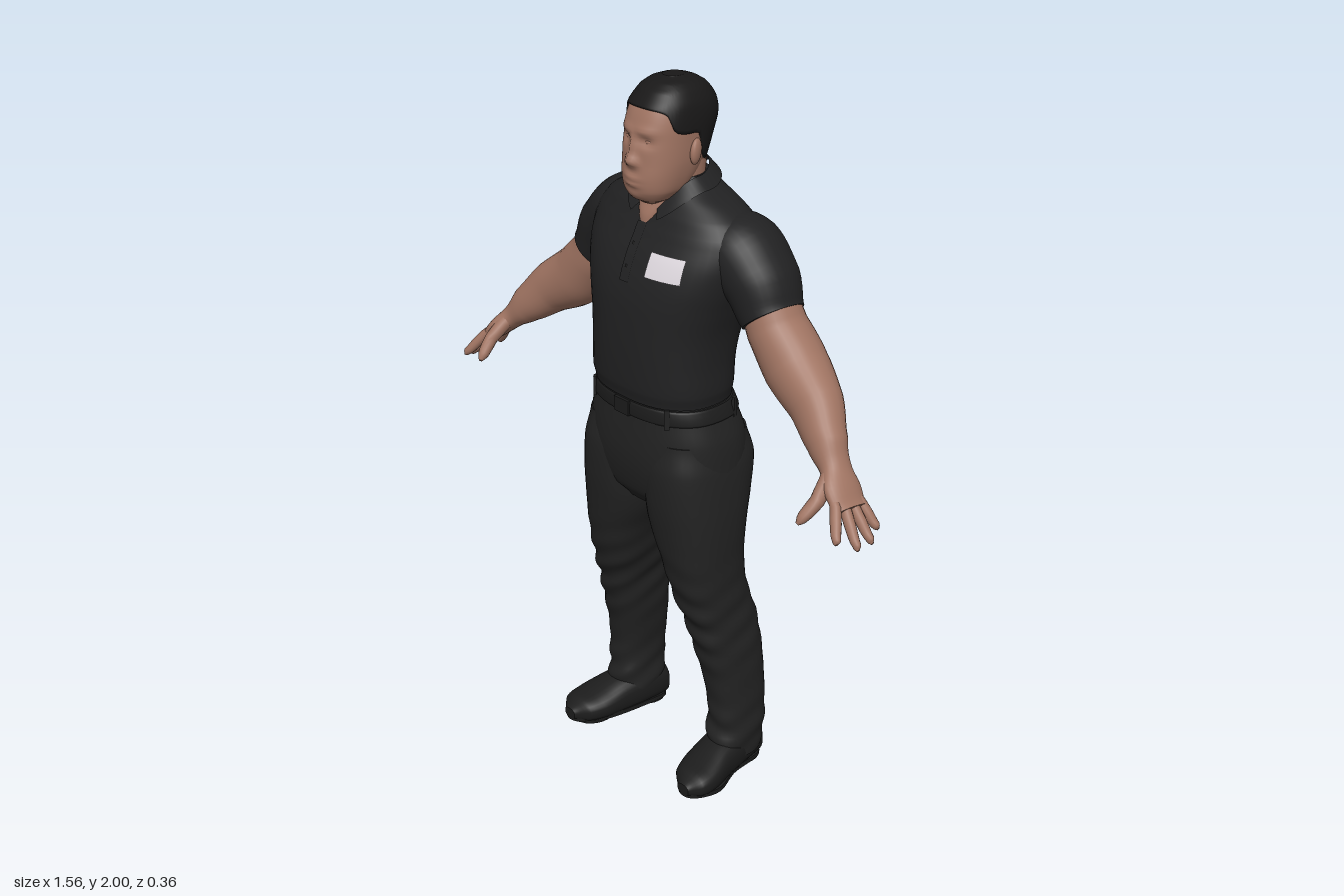
import * as THREE from 'three';

const mat = (name, color, side = THREE.FrontSide) => {
  const m = new THREE.MeshStandardMaterial({ color, side });
  m.name = name;
  return m;
};
const vec = (x, y, z) => new THREE.Vector3(x, y, z);
const Z = vec(0, 0, 1);

// Row of a table at fractional index t: first column linear, the rest Catmull-Rom
function at(rows, t) {
  const last = rows.length - 1;
  t = Math.min(Math.max(t, 0), last);
  const i = Math.min(Math.floor(t), last - 1), f = t - i;
  const [p, q, r, s] = [i - 1, i, i + 1, i + 2].map(k => rows[Math.min(Math.max(k, 0), last)]);
  return q.map((b, k) => k === 0 ? b + (r[0] - b) * f
    : b + 0.5 * f * (r[k] - p[k] + f * (2 * p[k] - 5 * b + 4 * r[k] - s[k] + f * (3 * (b - r[k]) + s[k] - p[k]))));
}
// Row of a table whose ascending first column equals key
function atKey(rows, key) {
  let i = 0;
  while (i < rows.length - 2 && rows[i + 1][0] < key) i++;
  return at(rows, i + Math.min(Math.max((key - rows[i][0]) / (rows[i + 1][0] - rows[i][0]), 0), 1));
}

// Surface from fn(u, v), optionally wrapped in u with closed ends
function grid(nu, nv, fn, wrap = false, caps = false) {
  const pos = [], idx = [], w = wrap ? nu : nu + 1;
  for (let j = 0; j <= nv; j++) for (let i = 0; i < w; i++) pos.push(...fn(i / nu, j / nv).toArray());
  for (let j = 0; j < nv; j++) for (let i = 0; i < nu; i++) {
    const a = j * w + i, b = j * w + (i + 1) % w;
    idx.push(a, b, a + w, b, b + w, a + w);
  }
  if (caps) for (const j of [0, nv]) {
    const base = pos.length / 3, c = vec(0, 0, 0);
    for (let i = 0; i < nu; i++) {
      const p = pos.slice((j * w + i) * 3, (j * w + i) * 3 + 3);
      pos.push(...p);
      c.add(vec(...p).divideScalar(nu));
    }
    pos.push(...c.toArray());
    for (let i = 0; i < nu; i++) {
      const a = base + i, b = base + (i + 1) % nu;
      idx.push(...(j ? [a, b, base + nu] : [b, a, base + nu]));
    }
  }
  const g = new THREE.BufferGeometry();
  g.setAttribute('position', new THREE.Float32BufferAttribute(pos, 3));
  g.setIndex(idx);
  g.computeVertexNormals();
  return g;
}

// Section frames: upright [y, cx, halfWidth, zFront, zBack], limb [x, y, z, a, b], forward [z, cx, cy, halfWidth, halfHeight]
const upright = r => ({ c: vec(r[1], r[0], (r[3] + r[4]) / 2), u: vec(-1, 0, 0), v: Z, a: r[2], b: (r[3] - r[4]) / 2, n: 2.4 });
const limb = (r, d) => {
  const u = Z.clone().cross(d).normalize();
  return { c: vec(r[0], r[1], r[2]), u, v: d.clone().cross(u), a: r[3], b: r[4], n: 2.1 };
};
const forward = r => ({ c: vec(r[1], r[2], r[0]), u: vec(1, 0, 0), v: vec(0, 1, 0), a: r[3], b: r[4], n: 2.5 });
const bend = (x, n) => Math.sign(x) * Math.abs(x) ** (2 / n);
function ring(s, angle, grow = 0) {
  return s.c.clone().addScaledVector(s.u, (s.a + grow) * bend(Math.cos(angle), s.n))
    .addScaledVector(s.v, (s.b + grow) * bend(Math.sin(angle), s.n));
}
function loft(rows, frame, seg = 32, steps = 4, warp = p => p) {
  const n = rows.length - 1;
  return grid(seg, n * steps, (u, v) => {
    const t = v * n, p = at(rows, t - 0.3), q = at(rows, t + 0.3);
    const d = vec(q[0] - p[0], q[1] - p[1], q[2] - p[2]).normalize();
    return warp(ring(frame(at(rows, t), d), u * Math.PI * 2));
  }, true, true);
}
function mirrored(geo) {
  const g = geo.clone().scale(-1, 1, 1), x = g.index.array;
  for (let i = 0; i < x.length; i += 3) [x[i], x[i + 1]] = [x[i + 1], x[i]];
  g.computeVertexNormals();
  return g;
}

const TORSO = [[1.165, 0, .2, .172, -.116], [1.2, 0, .206, .179, -.119], [1.28, 0, .205, .181, -.128], [1.36, 0, .212, .179, -.15],
  [1.44, 0, .232, .173, -.174], [1.5, 0, .25, .16, -.18], [1.56, 0, .262, .137, -.178], [1.62, 0, .258, .105, -.165],
  [1.66, 0, .228, .083, -.148], [1.69, 0, .18, .064, -.133], [1.72, 0, .115, .052, -.118], [1.75, 0, .085, .03, -.1]];
const HEAD = [[1.685, 0, .03, .095, .03], [1.7, 0, .055, .117, .01], [1.725, 0, .074, .132, -.03], [1.76, 0, .084, .136, -.06],
  [1.8, 0, .09, .132, -.08], [1.85, 0, .092, .128, -.1], [1.9, 0, .092, .12, -.117], [1.94, 0, .085, .103, -.109],
  [1.97, 0, .068, .075, -.086], [1.985, 0, .048, .048, -.06], [1.993, 0, .02, .015, -.03]];
const HIPS = [[.84, 0, .12, .12, -.07], [.88, 0, .215, .15, -.115], [.94, 0, .238, .166, -.138], [1.0, 0, .238, .173, -.15],
  [1.06, 0, .231, .172, -.145], [1.11, 0, .215, .168, -.13], [1.17, 0, .194, .164, -.11]];
const LEG = [[.05, .21, .062, .03, -.13], [.1, .212, .066, .034, -.14], [.2, .212, .063, .03, -.145], [.3, .203, .067, .04, -.145],
  [.4, .193, .072, .064, -.14], [.5, .182, .074, .09, -.125], [.6, .166, .085, .12, -.097], [.7, .152, .098, .14, -.092],
  [.8, .133, .118, .154, -.108], [.88, .126, .122, .163, -.128], [.98, .122, .117, .165, -.146], [1.06, .12, .1, .15, -.125]];
const SLEEVE = [[.12, 1.6, -.05, .07, .085], [.21, 1.578, -.052, .098, .108], [.285, 1.51, -.052, .092, .102], [.331, 1.436, -.045, .078, .086]];
const ARM = [[.3, 1.49, -.047, .068, .074], [.345, 1.41, -.047, .077, .08], [.42, 1.325, -.044, .086, .082], [.515, 1.263, -.02, .074, .067],
  [.59, 1.195, .015, .054, .05], [.632, 1.152, .03, .035, .042], [.67, 1.115, .045, .027, .055], [.712, 1.075, .053, .018, .05]];
const DIGITS = {
  thumb: [[.64, 1.14, .06, .022, .022], [.65, 1.095, .11, .019, .019], [.64, 1.06, .148, .015, .015], [.635, 1.045, .163, .005, .005]],
};
[['indexFinger', .09, .745, 1.022, .137], ['middleFinger', .065, .776, 1.002, .092], ['ringFinger', .041, .778, 1.004, .044],
  ['littleFinger', .018, .757, 1.02, .002]].forEach(([name, z, x, y, tz]) => {
  const on = (k, r) => [.69 + (x - .69) * k, 1.096 + (y - 1.096) * k, z + (tz - z) * k, r, r];
  DIGITS[name] = [on(0, .014), on(.5, .0145), on(.9, .011), on(1, .004)];
});
const SHOE = [[-.142, .198, .05, .03, .03], [-.125, .2, .058, .055, .056], [-.05, .207, .06, .064, .062], [.03, .22, .052, .066, .056],
  [.1, .234, .042, .07, .042], [.15, .243, .037, .058, .033], [.182, .248, .03, .022, .016]];
// Hair edge height by how far forward the direction points (-1 back, 1 front)
const HAIRLINE = [[-1, 1.775], [-.7, 1.785], [-.35, 1.815], [-.1, 1.868], [.2, 1.875], [.45, 1.885], [.65, 1.925], [1, 1.937]];

// Face modelling by soft bumps
function faceWarp(p) {
  if (p.z < .05) return p;
  const { x, y } = p;
  const bump = (k, x0, y0, sx, sy) => { p.z += k * Math.exp(-(((Math.abs(x) - x0) / sx) ** 2) - ((y - y0) / sy) ** 2); };
  bump(.02, 0, 1.806, .016, .016);
  bump(.012, 0, 1.84, .011, .028);
  bump(.006, .016, 1.802, .009, .01);
  bump(-.01, .036, 1.856, .019, .012);
  bump(.006, .03, 1.882, .032, .01);
  bump(.008, 0, 1.762, .024, .007);
  bump(.008, 0, 1.745, .022, .007);
  bump(.005, 0, 1.712, .025, .012);
  return p;
}
// Cloth folds at knee and ankle
function folds(p) {
  const k = .005 * (Math.exp(-(((p.y - .5) / .14) ** 2)) + Math.exp(-(((p.y - .13) / .09) ** 2)));
  p.z += k * Math.sin(p.y * 75 + p.x * 26);
  p.x += k * .7 * Math.sin(p.y * 68 + p.z * 30);
  return p;
}

export function createModel() {
  const skin = mat('skin', 0xa07462), shirt = mat('shirtBlack', 0x212122, THREE.DoubleSide), trousers = mat('trouserBlack', 0x222222);
  const hair = mat('hairBlack', 0x191818), leather = mat('leatherBlack', 0x1c1c1c), white = mat('badgeWhite', 0xded8de, THREE.DoubleSide);
  const root = new THREE.Group();
  root.name = 'standingMan';
  const add = (name, geo, m) => {
    const mesh = new THREE.Mesh(geo, m);
    mesh.name = name;
    root.add(mesh);
    return mesh;
  };
  const pair = (name, geo, m) => { add(name + 'Left', geo, m); add(name + 'Right', mirrored(geo), m); };

  // Head and neck
  add('head', loft(HEAD, upright, 72, 6, faceWarp), skin);
  add('neck', loft([[1.61, 0, .025, .098, 0], [1.65, 0, .042, .096, -.03], [1.68, 0, .062, .085, -.06],
    [1.72, 0, .075, .07, -.08], [1.79, 0, .078, .06, -.088]], upright), skin);
  pair('ear', new THREE.SphereGeometry(1, 16, 12).scale(.012, .034, .021).rotateX(-.2).rotateY(.3).translate(.093, 1.822, .002), skin);
  pair('eyelid', new THREE.SphereGeometry(1, 16, 10).scale(.013, .007, .007).rotateY(.3).translate(.036, 1.855, .108), skin);
  add('hair', grid(64, 22, (u, v) => {
    const a = u * Math.PI * 2, low = atKey(HAIRLINE, Math.sin(a))[1], s = Math.max(0, v * 22 - 1) / 21;
    const y = low + (1.993 - low) * Math.sin(s * Math.PI / 2);
    const p = ring(upright(atKey(HEAD, y)), a, v === 0 ? -.006 : .006);
    p.y += .007 * s;
    return p;
  }, true, true), hair);

  // Shirt
  add('shirtBody', loft(TORSO, upright, 48, 5), shirt);
  pair('sleeve', loft(SLEEVE, limb, 32, 6), shirt);
  add('collar', grid(48, 6, (u, v) => {
    const gap = .42 - .12 * v, a = Math.PI / 2 + gap + u * (Math.PI * 2 - 2 * gap), f = Math.sin(a);
    const y0 = 1.722 + f * f * (f > 0 ? -.085 : .023), y1 = 1.752 + f * f * (f > 0 ? -.072 : .033);
    return vec(-(.122 - .034 * v) * Math.cos(a), y0 + (y1 - y0) * v, -.012 + (.118 - .033 * v) * f);
  }), shirt);
  const onChest = (x0, x1, y0, y1, lift) => grid(8, 10, (u, v) => {
    const x = x0 + (x1 - x0) * u, y = y0 + (y1 - y0) * v, s = upright(atKey(TORSO, y));
    return vec(x, y, s.c.z + s.b * (1 - Math.abs(x / s.a) ** s.n) ** (1 / s.n) + lift);
  });
  add('placket', onChest(-.016, .016, 1.49, 1.635, .003), shirt);
  for (const y of [1.53, 1.585]) add('button', onChest(-.004, .004, y - .004, y + .004, .006), leather);
  add('chestBadge', onChest(.068, .172, 1.518, 1.58, .005), white);

  // Arms and hands
  pair('arm', loft(ARM, limb, 28, 5), skin);
  for (const [name, rows] of Object.entries(DIGITS)) pair(name, loft(rows, limb, 12, 4), skin);

  // Trousers and belt
  add('trouserSeat', loft(HIPS, upright, 48, 5), trousers);
  pair('trouserLeg', loft(LEG, upright, 40, 8, folds), trousers);
  add('belt', loft([[1.118, 0, .213, .171, -.13], [1.124, 0, .216, .174, -.132], [1.154, 0, .206, .173, -.122], [1.16, 0, .202, .17, -.118]],
    upright, 48, 2), leather);
  add('buckle', new THREE.BoxGeometry(.055, .042, .008).translate(0, 1.139, .175), leather);
  for (const a of [.9, 2.24, 3.5, 4.3, 5.12, 5.92]) {
    const p = ring(upright([1.139, 0, .213, .174, -.128]), a);
    const loop = add('beltLoop', new THREE.BoxGeometry(.014, .056, .008), trousers);
    loop.position.copy(p);
    loop.rotation.y = Math.atan2(p.x, p.z - .02);
  }

  // Shoes with soles and heels
  pair('shoe', loft(SHOE, forward, 28, 5, p => { p.y = Math.max(p.y, .012); return p; }), leather);
  const outline = new THREE.Shape(new THREE.SplineCurve([[.198, .142], [.255, .11], [.27, 0], [.305, -.09], [.285, -.16], [.248, -.182],
    [.205, -.16], [.17, -.09], [.15, .03], [.148, .11], [.198, .142]].map(p => new THREE.Vector2(...p))).getPoints(44));
  const sole = new THREE.ExtrudeGeometry(outline, { depth: .014, bevelEnabled: false }).rotateX(-Math.PI / 2).translate(0, .008, 0);
  add('soleLeft', sole, leather);
  const other = add('soleRight', sole.clone().rotateZ(Math.PI).translate(0, .03, 0), leather);
  other.position.y = 0;
  pair('heel', new THREE.CylinderGeometry(.052, .054, .02, 24).scale(1, 1, 1.05).translate(.202, .01, -.084), leather);
  pair('foreSole', new THREE.CylinderGeometry(.06, .058, .012, 24).scale(1, 1, 1.2).translate(.237, .006, .095), leather);
  return root;
}
